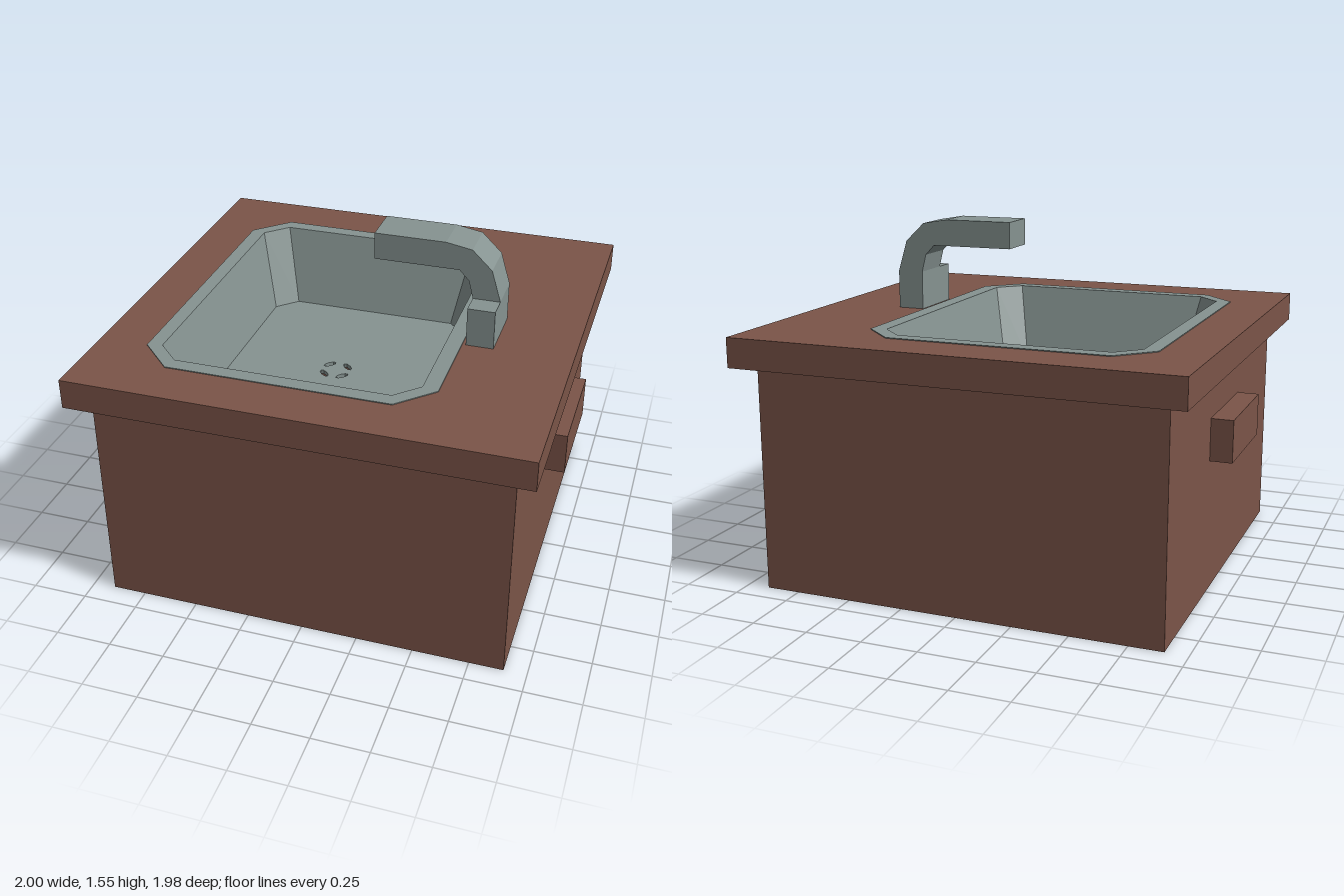
import * as THREE from 'three';

const brown = new THREE.MeshStandardMaterial({ name: 'brownCabinet', color: 0x7b5448 });
const grey = new THREE.MeshStandardMaterial({ name: 'greyMetal', color: 0x869391 });

// Octagon (rectangle with cut corners) as [x, z] points, in order from x towards z
function octagon(x0, x1, z, cut) {
  return [
    [x1, -z + cut], [x1, z - cut], [x1 - cut, z], [x0 + cut, z],
    [x0, z - cut], [x0, -z + cut], [x0 + cut, -z], [x1 - cut, -z],
  ].map(([x, pz]) => new THREE.Vector2(x, pz));
}

const rect = (h) => octagon(-h, h, h, 0).filter((p, i) => i % 2 === 0);

// Horizontal slab from an outline with optional holes, spanning y0 to y1
function slab(outline, holes, y0, y1) {
  const shape = new THREE.Shape(outline);
  shape.holes = holes.map((h) => new THREE.Path(h));
  const geo = new THREE.ExtrudeGeometry(shape, { depth: y1 - y0, bevelEnabled: false });
  return geo.rotateX(-Math.PI / 2).translate(0, y0, 0);
}

function box(x0, x1, y0, y1, z0, z1) {
  return new THREE.BoxGeometry(x1 - x0, y1 - y0, z1 - z0)
    .translate((x0 + x1) / 2, (y0 + y1) / 2, (z0 + z1) / 2);
}

// Inward-facing walls between two octagons at different heights
function basinWalls(top, yTop, bottom, yBottom) {
  const pos = [];
  for (let i = 0; i < top.length; i++) {
    const j = (i + 1) % top.length;
    const a = [top[i].x, yTop, top[i].y], b = [top[j].x, yTop, top[j].y];
    const c = [bottom[j].x, yBottom, bottom[j].y], d = [bottom[i].x, yBottom, bottom[i].y];
    pos.push(...a, ...d, ...c, ...a, ...c, ...b);
  }
  const geo = new THREE.BufferGeometry();
  geo.setAttribute('position', new THREE.Float32BufferAttribute(pos, 3));
  geo.computeVertexNormals();
  return geo;
}

export function createModel() {
  const model = new THREE.Group();
  model.name = 'sinkCabinet';
  const add = (name, geo, mat) => {
    const mesh = new THREE.Mesh(geo, mat);
    mesh.name = name;
    model.add(mesh);
  };

  const rimOuter = octagon(-0.77, 0.51, 0.765, 0.15);
  const rimInner = octagon(-0.705, 0.44, 0.7, 0.1);
  const floorEdge = octagon(-0.62, 0.36, 0.6, 0.09);
  const topY = 1.135, floorY = 0.775;

  // Hollow cabinet
  add('cabinetWalls', slab(rect(0.9), [rect(0.86)], 0, 1), brown);
  add('cabinetBottom', box(-0.87, 0.87, 0, 0.03, -0.87, 0.87), brown);

  // Countertop with the basin opening
  add('countertop', slab(rect(0.988), [rimInner], 1, topY - 0.004), brown);

  // Side handles
  for (const [name, s] of [['leftHandle', 1], ['rightHandle', -1]]) {
    const geo = box(-0.05, 0.05, 0.595, 0.783, -0.25, 0.25).translate(s * 0.948, 0, 0);
    add(name, geo, brown);
  }

  // Basin: flat rim, sloping walls and floor with four drain slits
  add('basinRim', slab(rimOuter, [rimInner], topY - 0.006, topY), grey);
  add('basinWalls', basinWalls(rimInner, topY, floorEdge, floorY), grey);
  const slits = [];
  for (const sx of [-1, 1]) {
    for (const sz of [-1, 1]) {
      const slit = new THREE.EllipseCurve(-0.131 + sx * 0.043, sz * 0.043,
        0.032, 0.014, 0, Math.PI * 2, false, -sx * sz * Math.PI / 4);
      slits.push(slit.getPoints(8).slice(0, -1));
    }
  }
  add('basinFloor', slab(floorEdge, slits, floorY - 0.02, floorY), grey);

  // Faucet: bent square spout
  const spout = new THREE.Shape([
    [0.645, 1.13], [0.645, 1.305], [0.603, 1.445], [0.515, 1.53], [0.4, 1.55],
    [0.087, 1.55], [0.087, 1.43], [0.463, 1.43], [0.505, 1.385], [0.525, 1.305], [0.525, 1.13],
  ].map(([x, y]) => new THREE.Vector2(x, y)));
  add('spout', new THREE.ExtrudeGeometry(spout, { depth: 0.188, bevelEnabled: false })
    .translate(0, 0, -0.079), grey);

  // Tap block beside the spout
  add('tap', box(0.525, 0.645, 1.13, 1.305, 0.105, 0.208), grey);

  return model;
}
